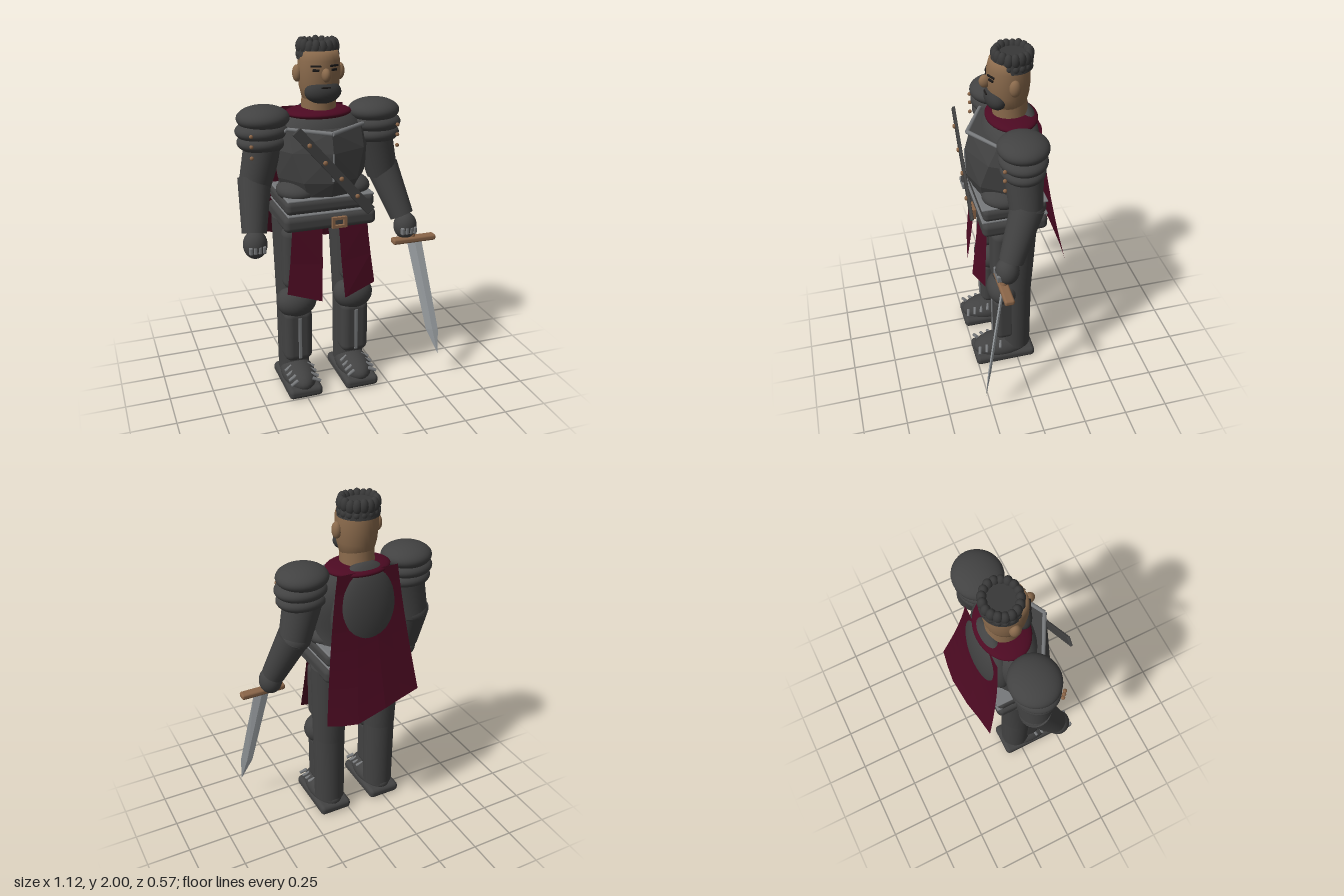
import * as THREE from 'three';
import { RoundedBoxGeometry } from 'three/addons/geometries/RoundedBoxGeometry.js';
import { ConvexGeometry } from 'three/addons/geometries/ConvexGeometry.js';

const CX = -0.085; // body centre line
const V = (x, y, z) => new THREE.Vector3(x, y, z);
const mat = (name, color, extra = {}) => {
  const m = new THREE.MeshStandardMaterial({ color, ...extra });
  m.name = name;
  return m;
};

export function createModel() {
  const root = new THREE.Group();
  root.name = 'knight';
  const armor = mat('dark armour', 0x424242);
  const plate = mat('faceted armour', 0x424242, { flatShading: true });
  const hair = mat('hair', 0x383838);
  const skin = mat('skin', 0x8a6a4c);
  const cloth = mat('wine cloth', 0x4c0a22, { side: THREE.DoubleSide, flatShading: true });
  const collarCloth = mat('collar cloth', 0x4c0a22);
  const brass = mat('bronze', 0x8a6548);
  const trim = mat('grey trim', 0x77797b);
  const steel = mat('blade steel', 0x9da2a5, { flatShading: true });
  const ink = mat('face lines', 0x1d1a19);

  // ---- helpers
  const add = (name, geo, m, x = 0, y = 0, z = 0) => {
    const mesh = new THREE.Mesh(geo, m);
    mesh.name = name;
    mesh.position.set(x, y, z);
    root.add(mesh);
    return mesh;
  };
  const ball = (name, m, x, y, z, rx, ry, rz, seg = 28) =>
    add(name, new THREE.SphereGeometry(1, seg, Math.round(seg * 0.7)).scale(rx, ry, rz), m, x, y, z);
  const block = (name, m, x, y, z, w, h, d, r = 0.01) =>
    add(name, new RoundedBoxGeometry(w, h, d, 4, r), m, x, y, z);
  const limb = (name, m, a, b, ra, rb, seg = 28) => {
    const dir = b.clone().sub(a);
    const mesh = add(name, new THREE.CylinderGeometry(rb, ra, dir.length(), seg), m);
    mesh.position.copy(a).addScaledVector(dir, 0.5);
    mesh.quaternion.setFromUnitVectors(V(0, 1, 0), dir.normalize());
    return mesh;
  };
  // surface through rows of points
  const sheet = (name, rows, m) => {
    const n = rows[0].length, index = [];
    for (let i = 0; i < rows.length - 1; i++) for (let j = 0; j < n - 1; j++) {
      const a = i * n + j;
      index.push(a, a + n, a + 1, a + 1, a + n, a + n + 1);
    }
    const geo = new THREE.BufferGeometry().setFromPoints(rows.flat());
    geo.setIndex(index);
    geo.computeVertexNormals();
    return add(name, geo, m);
  };

  // ---- legs and boots
  for (const s of [-1, 1]) {
    const x = CX + s * 0.171;
    block('bootSole', armor, x, 0.031, 0.075, 0.2, 0.062, 0.37, 0.025);
    ball('bootUpper', armor, x, 0.075, 0.08, 0.096, 0.077, 0.18);
    for (const k of [-1, 1]) for (let i = 0; i < 4; i++) {
      const z = 0.1 + i * 0.043, y = 0.132 - i * 0.008;
      limb('bootClaw', trim, V(x + k * 0.045, y, z), V(x + k * 0.088, y - 0.018, z + 0.012), 0.011, 0.009, 10);
    }
    limb('shin', armor, V(x, 0.08, -0.005), V(x, 0.57, -0.005), 0.09, 0.094);
    block('greave', armor, x, 0.335, 0.07, 0.165, 0.33, 0.136, 0.045);
    block('greaveStrip', trim, x, 0.325, 0.138, 0.02, 0.26, 0.01, 0.004);
    ball('kneeGuard', armor, x, 0.54, 0.073, 0.117, 0.097, 0.093);
    limb('thigh', armor, V(x, 0.53, -0.005), V(x - s * 0.005, 1.03, -0.02), 0.094, 0.111);
    block('thighPlate', armor, x, 0.815, 0.08, 0.16, 0.37, 0.12, 0.05);
  }

  // ---- waist and belt
  block('belt', armor, CX, 1.043, 0.015, 0.525, 0.088, 0.37, 0.03);
  block('waistBand', armor, CX, 1.137, 0.015, 0.505, 0.08, 0.36, 0.03);
  for (const y of [1.094, 1.178]) block('waistTrim', trim, CX, y, 0.015, 0.49, 0.012, 0.372, 0.005);
  for (const s of [-1, 1]) ball('waistGuard', armor, CX + s * 0.145, 1.2, 0.05, 0.12, 0.065, 0.13);
  const frame = new THREE.Shape([[-0.042, -0.031], [0.042, -0.031], [0.042, 0.031], [-0.042, 0.031]].map(p => new THREE.Vector2(...p)));
  frame.holes.push(new THREE.Path([[-0.025, -0.016], [-0.025, 0.016], [0.025, 0.016], [0.025, -0.016]].map(p => new THREE.Vector2(...p))));
  add('buckle', new THREE.ExtrudeGeometry(frame, { depth: 0.02, bevelEnabled: false }), brass, -0.045, 1.04, 0.2);

  // ---- torso
  const torso = [[0, 1.1], [0.21, 1.1], [0.235, 1.25], [0.26, 1.42], [0.235, 1.53], [0.15, 1.6], [0, 1.62]];
  const lathe = new THREE.SplineCurve(torso.map(p => new THREE.Vector2(...p))).getPoints(24);
  lathe.forEach(p => { p.x = Math.max(0, p.x); });
  add('torso', new THREE.LatheGeometry(lathe, 36).scale(1, 1, 0.6), armor, CX, 0, -0.005);
  ball('backPlate', armor, CX, 1.37, -0.1, 0.2, 0.29, 0.094, 36);

  // breastplate: half sections of [y, [offset, z]...] with a central ridge
  const half = [
    [1.18, [0, 0.195], [0.12, 0.165], [0.21, 0.02]],
    [1.27, [0, 0.233], [0.15, 0.185], [0.25, 0.03]],
    [1.43, [0, 0.235], [0.2, 0.15], [0.275, 0.02]],
    [1.54, [0, 0.205], [0.2, 0.1], [0.235, 0.02]],
  ];
  const chest = [];
  for (const [y, ...pts] of half) for (const [dx, z] of pts) for (const s of [-1, 1]) chest.push(V(CX + s * dx, y, z));
  add('breastplate', new ConvexGeometry(chest), plate);
  for (const s of [-1, 1]) {
    limb('chestRim', trim, V(CX, 1.535, 0.217), V(CX + s * 0.21, 1.55, 0.1), 0.012, 0.01, 8);
    limb('chestSideRim', trim, V(CX + s * 0.21, 1.55, 0.1), V(CX + s * 0.255, 1.49, 0.04), 0.01, 0.007, 8);
  }
  limb('chestRidge', trim, V(CX, 1.28, 0.231), V(CX, 1.43, 0.233), 0.006, 0.006, 8);

  // shoulder strap with studs
  const strap = block('strap', armor, CX, 1.337, 0.249, 0.055, 0.63, 0.014, 0.004);
  strap.rotation.z = Math.atan2(0.41, 0.47);
  [[-0.225, 1.495], [-0.14, 1.395], [-0.05, 1.3], [0.04, 1.195]].forEach(([x, y]) =>
    ball('strapStud', brass, x, y, 0.26, 0.013, 0.013, 0.01, 12));

  // ---- pauldrons
  for (const s of [-1, 1]) {
    const x = CX + s * 0.315;
    ball('pauldronTop', armor, x, 1.597, -0.005, 0.143, 0.068, 0.136, 36);
    ball('pauldronMiddle', armor, x + s * 0.008, 1.53, -0.003, 0.146, 0.062, 0.128, 36);
    ball('pauldronLower', armor, x + s * 0.006, 1.47, -0.002, 0.14, 0.062, 0.12, 36);
    [1.53, 1.475, 1.415].forEach(y => ball('pauldronStud', brass, CX + s * 0.41, y, 0.115, 0.011, 0.011, 0.011, 12));
  }

  // ---- arms: shoulder, elbow, wrist and hand x differ for each side
  for (const [name, sx, ex, wx, hx] of [['right', -0.395, -0.455, -0.492, -0.495], ['left', 0.225, 0.29, 0.375, 0.387]]) {
    limb(name + 'UpperArm', armor, V(sx, 1.48, -0.005), V(ex, 1.23, -0.01), 0.108, 0.088);
    ball(name + 'Elbow', armor, ex, 1.245, -0.012, 0.09, 0.075, 0.09);
    limb(name + 'Forearm', armor, V(ex, 1.265, -0.015), V(wx, 0.99, 0.095), 0.092, 0.068);
    ball(name + 'Hand', armor, hx, 0.935, 0.12, 0.067, 0.08, 0.066);
    for (let i = 0; i < 4; i++)
      block(name + 'Knuckle', trim, hx - 0.037 + i * 0.0245, 0.92, 0.172, 0.02, 0.042, 0.03, 0.007);
  }

  // ---- sword
  limb('swordGrip', brass, V(0.4, 0.98, 0.135), V(0.42, 0.86, 0.15), 0.02, 0.02, 12);
  block('swordGuard', brass, 0.428, 0.858, 0.15, 0.264, 0.034, 0.055, 0.012);
  const blade = [V(0.55, 0.155, 0.29)];
  for (const [x0, x1, y, z] of [[0.39, 0.47, 0.85, 0.158], [0.486, 0.551, 0.31, 0.26]]) {
    const m = (x0 + x1) / 2;
    blade.push(V(x0, y, z - 0.014), V(x1, y, z + 0.014), V(m, y, z - 0.009), V(m, y, z + 0.009));
  }
  add('swordBlade', new ConvexGeometry(blade), steel);

  // ---- cloth: cape, front flaps, collar
  const capeRows = [];
  const hem = [[-0.37, 0.86, -0.24], [-0.25, 0.835, -0.255], [-0.14, 0.815, -0.275], [0.04, 0.77, -0.285], [0.13, 0.78, -0.275], [0.22, 0.8, -0.26]];
  for (let i = 0; i <= 8; i++) {
    const t = i / 8, e = Math.pow(t, 1.5);
    capeRows.push(hem.map(([x, y, z], j) =>
      V(THREE.MathUtils.lerp(CX - 0.18 + j * 0.072, x, t), THREE.MathUtils.lerp(1.62, y, t), THREE.MathUtils.lerp(-0.14, z, e))));
  }
  sheet('cape', capeRows, cloth);
  for (const s of [-1, 1]) {
    const px = (d) => CX + s * d;
    sheet('frontFlap', [
      [V(px(0.047), 1.02, 0.18), V(px(0.215), 1.02, 0.17)],
      [V(px(0.055), 0.8, 0.205), V(px(0.235), 0.82, 0.185)],
      [V(px(0.068), 0.59, 0.232), V(px(0.257), 0.645, 0.195)],
    ], cloth);
  }
  ball('collar', collarCloth, CX, 1.605, -0.025, 0.185, 0.036, 0.14, 36);

  // ---- head
  limb('neck', skin, V(CX, 1.58, -0.02), V(CX, 1.72, -0.015), 0.097, 0.092);
  const headProfile = [[0, 1.645], [0.06, 1.65], [0.093, 1.69], [0.108, 1.75], [0.115, 1.82], [0.113, 1.89], [0.1, 1.94], [0, 1.95]];
  add('head', new THREE.LatheGeometry(headProfile.map(p => new THREE.Vector2(...p)), 36), skin, CX, 0, -0.01);
  ball('nose', skin, CX, 1.822, 0.115, 0.024, 0.036, 0.032, 18);
  ball('beard', hair, CX, 1.727, 0.058, 0.101, 0.063, 0.062);
  block('mouth', ink, CX, 1.757, 0.114, 0.05, 0.009, 0.009, 0.003);
  for (const s of [-1, 1]) {
    ball('ear', skin, CX + s * 0.119, 1.82, -0.015, 0.026, 0.046, 0.031, 18);
    for (const [name, y, w, h] of [['eyebrow', 1.868, 0.056, 0.011], ['eye', 1.847, 0.036, 0.013]]) {
      const m = block(name, ink, CX + s * 0.05, y, 0.095, w, h, 0.009, 0.003);
      m.rotation.y = s * 0.42;
    }
  }

  // curly crown of hair
  const cap = add('hairCap', new THREE.CylinderGeometry(0.104, 0.115, 0.075, 32), hair, CX, 1.93, -0.025);
  cap.scale.z = 0.98;
  for (let i = 0; i < 17; i++) {
    const a = i / 17 * Math.PI * 2, x = CX + Math.sin(a) * 0.093, z = -0.03 + Math.cos(a) * 0.088;
    ball('curl', hair, x, 1.955 + (i % 3) * 0.003, z, 0.025, 0.039, 0.025, 14);
    ball('lowerCurl', hair, CX + (x - CX) * 1.05, 1.915, z, 0.021, 0.023, 0.021, 12);
  }
  return root;
}
